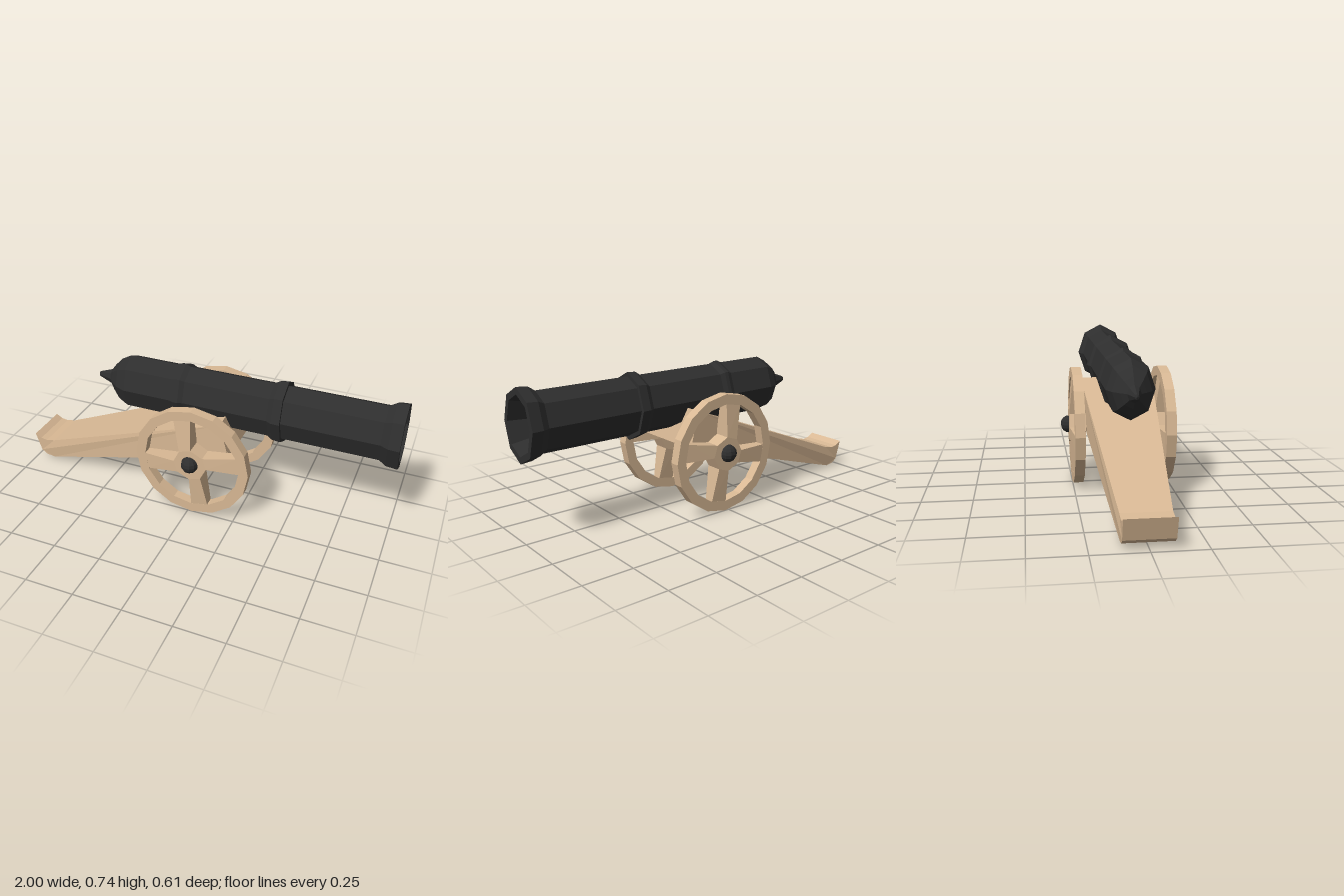
import * as THREE from 'three';
import { ConvexGeometry } from 'three/addons/geometries/ConvexGeometry.js';

const wood = new THREE.MeshStandardMaterial({ color: 0xd8b894, flatShading: true });
const iron = new THREE.MeshStandardMaterial({ color: 0x2e2e2e, flatShading: true });

function part(name, geometry, material) {
  const mesh = new THREE.Mesh(geometry, material);
  mesh.name = name;
  return mesh;
}

const polar = (r, degrees) => {
  const a = THREE.MathUtils.degToRad(degrees);
  return [r * Math.cos(a), r * Math.sin(a)];
};

// Eight-sided oval barrel, turned from breech tip to bore floor
function makeBarrel() {
  const profile = [
    [0, -0.61], [0.014, -0.605], [0.042, -0.53], [0.075, -0.505], [0.118, -0.465], [0.147, -0.41],
    [0.147, -0.15], [0.159, -0.125], [0.159, -0.105], [0.147, -0.08],
    [0.147, 0.36], [0.164, 0.385], [0.168, 0.43], [0.147, 0.43],
    [0.147, 0.91], [0.17, 0.945], [0.175, 1],
    [0.142, 1], [0.134, 0.97], [0.113, 0.9], [0, 0.9],
  ].map(([r, x]) => new THREE.Vector2(r, x));
  const geometry = new THREE.LatheGeometry(profile, 8);
  geometry.rotateZ(-Math.PI / 2).scale(1, 1, 0.8);
  const barrel = part('barrel', geometry, iron);
  barrel.position.y = 0.562;
  return barrel;
}

// Carriage: side outline extruded, then narrowed towards the tail
function makeCarriage() {
  const outline = [
    [-0.89, 0.015], [0.2, 0.35], [0.15, 0.532], [-0.88, 0.13], [-0.93, 0.12],
    [-0.965, 0.126], [-1, 0.147], [-0.97, 0.045], [-0.94, 0.022],
  ].map(([x, y]) => new THREE.Vector2(x, y));
  const geometry = new THREE.ExtrudeGeometry(new THREE.Shape(outline), { depth: 2, bevelEnabled: false });
  geometry.translate(0, 0, -1);
  const p = geometry.attributes.position;
  for (let i = 0; i < p.count; i++) {
    const t = Math.max(0, (p.getX(i) + 0.88) / 1.08);
    p.setZ(i, p.getZ(i) * (0.113 + 0.083 * t));
  }
  geometry.computeVertexNormals();
  return part('carriage', geometry, wood);
}

// Wheel built around its own centre, outer side towards +z
function makeWheel() {
  const wheel = new THREE.Group();

  // Sixteen-sided rim
  const circle = (r) => Array.from({ length: 16 }, (_, i) => new THREE.Vector2(...polar(r, i * 22.5)));
  const ring = new THREE.Shape(circle(0.303));
  ring.holes.push(new THREE.Path(circle(0.252)));
  const rim = new THREE.ExtrudeGeometry(ring, { depth: 0.05, bevelEnabled: false });
  wheel.add(part('rim', rim.translate(0, 0, -0.025), wood));

  // Hub corners are the roots of the four tapering spokes
  const hubPoints = [];
  for (let k = 0; k < 4; k++) {
    const turn = k * 90;
    const spokePoints = [];
    for (const side of [-1, 1]) {
      for (const angle of [-3, 40]) {
        const root = new THREE.Vector3(...polar(0.088, angle + turn), side * 0.0425 - 0.0025);
        hubPoints.push(root);
        spokePoints.push(root);
      }
      for (const angle of [0, 20.5]) {
        spokePoints.push(new THREE.Vector3(...polar(0.258, angle + turn), side * 0.024));
      }
    }
    wheel.add(part('spoke', new ConvexGeometry(spokePoints), wood));
  }
  wheel.add(part('hub', new ConvexGeometry(hubPoints), wood));

  // Round axle cap
  const cap = part('axleCap', new THREE.SphereGeometry(0.045, 10, 8), iron);
  cap.position.set(0, 0.005, 0.038);
  wheel.add(cap);
  return wheel;
}

export function createModel() {
  const model = new THREE.Group();
  model.name = 'cannon';
  model.add(makeBarrel(), makeCarriage());

  // Two wheels, the back one mirrored
  for (const side of [1, -1]) {
    const wheel = makeWheel();
    wheel.name = side > 0 ? 'frontWheel' : 'backWheel';
    wheel.position.set(0.02, 0.305, side * 0.225);
    wheel.scale.z = side;
    model.add(wheel);
  }
  return model;
}
